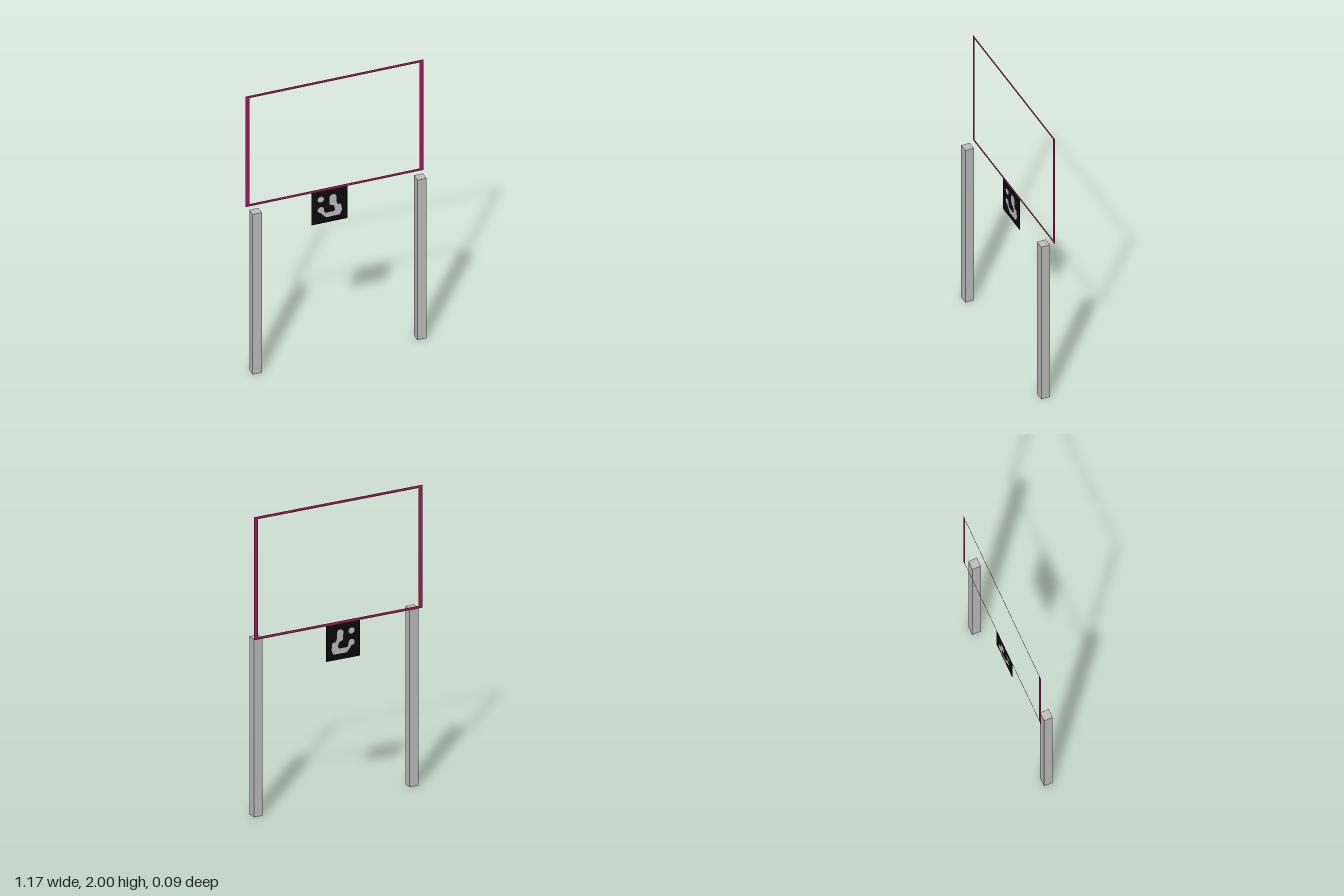
import * as THREE from 'three';

export function createModel() {
  const model = new THREE.Group();
  const grey = new THREE.MeshStandardMaterial({ name: 'postGrey', color: 0xc0c0c0 });
  const black = new THREE.MeshStandardMaterial({ name: 'panelBlack', color: 0x0a0a0a });
  const crimson = new THREE.MeshStandardMaterial({ name: 'frameCrimson', color: 0x9e1c58, side: THREE.DoubleSide });
  const backZ = -0.043;

  const add = (name, geometry, material, x, y, z) => {
    const mesh = new THREE.Mesh(geometry, material);
    mesh.name = name;
    mesh.position.set(x, y, z);
    model.add(mesh);
  };
  const outline = (points) => points.map(([x, y]) => new THREE.Vector2(x, y));
  const rectangle = (x, bottom, top) => outline([[-x, bottom], [x, bottom], [x, top], [-x, top]]);

  // Two square posts
  for (const [name, x] of [['rightPost', -0.543], ['leftPost', 0.544]]) {
    add(name, new THREE.BoxGeometry(0.06, 1.18, 0.058), grey, x, 0.59, 0.014);
  }

  // Flat open frame behind the posts
  const frame = new THREE.Shape(rectangle(0.587, 1.185, 2));
  frame.holes.push(new THREE.Path(rectangle(0.561, 1.202, 1.983).reverse()));
  add('frame', new THREE.ShapeGeometry(frame), crimson, 0, 0, backZ);

  // Small square panel hanging below the frame
  const panelX = -0.034, panelY = 1.067;
  add('panel', new THREE.BoxGeometry(0.236, 0.236, 0.002), black, panelX, panelY, backZ);

  // Abstract pale patches, visible on both faces of the panel
  const patch = (name, shape) => {
    const geometry = new THREE.ExtrudeGeometry(shape, { depth: 0.004, bevelEnabled: false });
    add(name, geometry, grey, panelX, panelY, backZ - 0.002);
  };
  for (const [name, y] of [['upperDot', 0.059], ['lowerDot', -0.018]]) {
    patch(name, new THREE.Shape().absarc(-0.057, y, 0.021, 0, Math.PI * 2));
  }
  patch('curvedPatch', new THREE.Shape(outline([
    [-0.06, -0.035], [-0.038, -0.022], [-0.028, -0.045], [0.03, -0.045], [0.038, -0.03],
    [0.028, -0.002], [0.002, 0.008], [0, 0.065], [0.012, 0.08], [0.034, 0.08], [0.045, 0.065],
    [0.045, 0.025], [0.055, 0], [0.076, 0], [0.083, -0.045], [0.07, -0.078], [-0.022, -0.08],
    [-0.045, -0.055],
  ])));

  return model;
}
